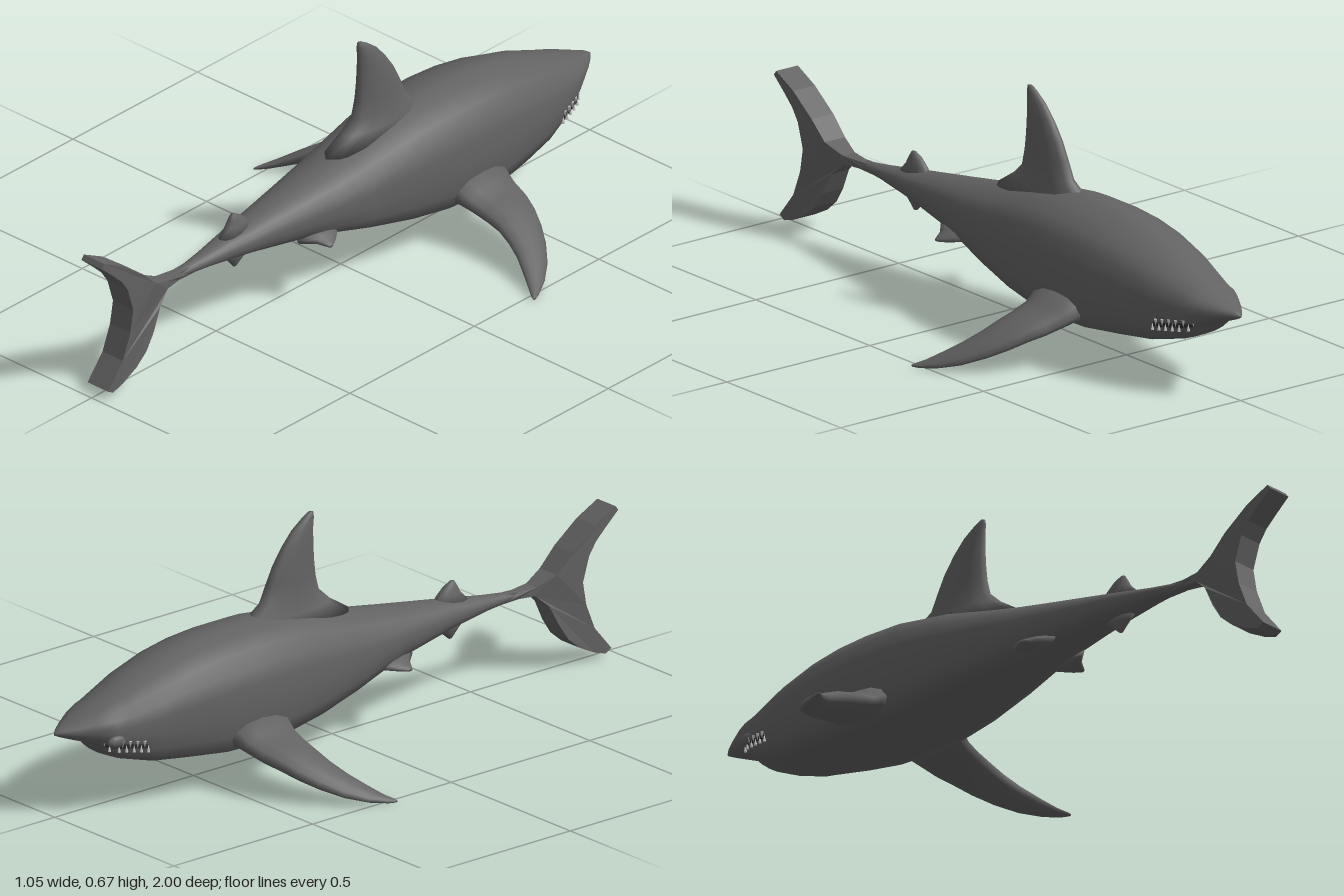
import * as THREE from 'three';

const skin = new THREE.MeshStandardMaterial({ name: 'grey skin', color: 0x626262 });
const toothWhite = new THREE.MeshStandardMaterial({ name: 'pale teeth', color: 0xc4c4c4 });
const mouthDark = new THREE.MeshStandardMaterial({ name: 'dark mouth', color: 0x2a2a2a, side: THREE.DoubleSide });

// Body stations from nose to tail: z, half width, top y, bottom y, boxiness
const stations = [
  [-1.0, 0.004, 0.25, 0.242, 0], [-0.985, 0.018, 0.26, 0.235, 0], [-0.95, 0.044, 0.273, 0.221, 0.1],
  [-0.9, 0.075, 0.293, 0.203, 0.3], [-0.87, 0.09, 0.305, 0.185, 0.4], [-0.85, 0.096, 0.313, 0.158, 0.4],
  [-0.8, 0.112, 0.332, 0.136, 0.5], [-0.72, 0.133, 0.363, 0.115, 0.65], [-0.6, 0.152, 0.396, 0.104, 0.85],
  [-0.5, 0.162, 0.411, 0.099, 1], [-0.4, 0.166, 0.418, 0.098, 1], [-0.28, 0.164, 0.418, 0.104, 1],
  [-0.15, 0.151, 0.402, 0.118, 0.9], [0, 0.128, 0.368, 0.143, 0.7], [0.1, 0.11, 0.348, 0.164, 0.5],
  [0.2, 0.091, 0.331, 0.185, 0.35], [0.4, 0.055, 0.299, 0.215, 0.2], [0.55, 0.028, 0.274, 0.231, 0.1],
  [0.65, 0.014, 0.261, 0.238, 0], [0.74, 0.014, 0.262, 0.236, 0],
];
// Boxy half section: flat belly, steep flanks, rounded back
const boxy = [[0, 0], [0.35, 0], [0.7, 0.02], [0.9, 0.05], [1, 0.2], [1, 0.4], [0.97, 0.6],
  [0.9, 0.75], [0.7, 0.88], [0.4, 0.955], [0.15, 0.995], [0, 1]];

function halfSection([z, w, top, bottom, box]) {
  return boxy.map(([bx, bt], k) => {
    const a = (k / (boxy.length - 1)) * Math.PI;
    const x = THREE.MathUtils.lerp(Math.sin(a), bx, box);
    const t = THREE.MathUtils.lerp((1 - Math.cos(a)) / 2, bt, box);
    return [x * w, bottom + t * (top - bottom), z];
  });
}

// Skin closed rings of points and cap both ends, facing outward
function loft(rings) {
  const n = rings[0].length, pos = rings.flat(), idx = [];
  for (let i = 0; i < rings.length - 1; i++) {
    for (let j = 0; j < n; j++) {
      const a = i * n + j, b = i * n + (j + 1) % n;
      idx.push(a, b, a + n, b, b + n, a + n);
    }
  }
  [0, rings.length - 1].forEach((r, end) => {
    const c = pos.length;
    pos.push([0, 1, 2].map(k => rings[r].reduce((s, p) => s + p[k], 0) / n));
    for (let j = 0; j < n; j++) {
      const a = r * n + j, b = r * n + (j + 1) % n;
      idx.push(c, ...(end ? [a, b] : [b, a]));
    }
  });
  const v = pos.map(p => new THREE.Vector3(...p));
  let volume = 0;
  for (let i = 0; i < idx.length; i += 3) {
    volume += v[idx[i]].dot(v[idx[i + 1]].clone().cross(v[idx[i + 2]]));
  }
  if (volume < 0) idx.reverse();
  const g = new THREE.BufferGeometry().setFromPoints(v);
  g.setIndex(idx);
  g.computeVertexNormals();
  return g;
}

// Fin from rows: x, y, leading z, trailing z, thickness along x, thickness along y
function fin(rows, side = 1) {
  return loft(rows.map(([x, y, z0, z1, tx, ty]) => Array.from({ length: 12 }, (_, k) => {
    const a = (k / 12) * Math.PI * 2;
    return [side * (x + tx * Math.sin(a)), y + ty * Math.sin(a), (z0 + z1) / 2 + (z0 - z1) / 2 * Math.cos(a)];
  })));
}

// Point on the flank at a given z and height
function flank(z, y) {
  const i = Math.max(1, stations.findIndex(s => s[0] >= z));
  const [p, q] = [stations[i - 1], stations[i]];
  const f = (z - p[0]) / (q[0] - p[0]);
  const half = halfSection(p.map((v, k) => v + (q[k] - v) * f));
  const j = Math.max(1, half.findIndex(h => h[1] >= y));
  const [a, b] = [half[j - 1], half[j]];
  const g = THREE.MathUtils.clamp((y - a[1]) / (b[1] - a[1] || 1), 0, 1);
  return a[0] + (b[0] - a[0]) * g;
}

export function createModel() {
  const group = new THREE.Group();
  const add = (name, geometry, material = skin) => {
    const m = new THREE.Mesh(geometry, material);
    m.name = name;
    group.add(m);
    return m;
  };

  // Body
  add('body', loft(stations.map(s => {
    const half = halfSection(s);
    return [...half, ...half.slice(1, -1).reverse().map(([x, y, z]) => [-x, y, z])];
  })));

  // Dorsal fin and the two small fins near the tail
  add('dorsalFin', fin([
    [0, 0.36, -0.34, 0.06, 0.06, 0], [0, 0.405, -0.31, -0.01, 0.048, 0], [0, 0.44, -0.262, -0.048, 0.036, 0],
    [0, 0.49, -0.238, -0.061, 0.032, 0], [0, 0.54, -0.213, -0.067, 0.028, 0], [0, 0.59, -0.178, -0.07, 0.023, 0],
    [0, 0.63, -0.143, -0.07, 0.017, 0], [0, 0.657, -0.108, -0.067, 0.011, 0], [0, 0.671, -0.085, -0.069, 0.006, 0],
  ]));
  add('rearTopFin', fin([
    [0, 0.28, 0.36, 0.49, 0.028, 0], [0, 0.309, 0.378, 0.462, 0.02, 0],
    [0, 0.33, 0.4, 0.45, 0.014, 0], [0, 0.345, 0.425, 0.44, 0.006, 0],
  ]));
  add('rearBottomFin', fin([
    [0, 0.23, 0.36, 0.48, 0.022, 0], [0, 0.208, 0.385, 0.456, 0.016, 0],
    [0, 0.192, 0.405, 0.442, 0.01, 0], [0, 0.179, 0.42, 0.432, 0.004, 0],
  ]));

  for (const [label, s] of [['left', 1], ['right', -1]]) {
    // Swept pectoral fins
    add(label + 'PectoralFin', fin([
      [0.12, 0.15, -0.5, -0.28, 0, 0.045], [0.165, 0.15, -0.495, -0.288, 0, 0.045],
      [0.2, 0.134, -0.485, -0.298, 0, 0.035], [0.255, 0.118, -0.474, -0.304, 0, 0.032],
      [0.3, 0.105, -0.456, -0.305, 0, 0.031], [0.35, 0.083, -0.43, -0.297, 0, 0.028],
      [0.4, 0.06, -0.395, -0.28, 0, 0.024], [0.45, 0.036, -0.348, -0.253, 0, 0.018],
      [0.49, 0.018, -0.293, -0.23, 0, 0.011], [0.515, 0.01, -0.245, -0.214, 0, 0.006],
      [0.523, 0.008, -0.225, -0.212, 0, 0.003],
    ], s));

    // Small pelvic fins
    add(label + 'PelvicFin', fin([
      [0.06, 0.2, 0.08, 0.24, 0, 0.025], [0.095, 0.193, 0.115, 0.2, 0, 0.014],
      [0.113, 0.188, 0.14, 0.19, 0, 0.009], [0.127, 0.184, 0.165, 0.182, 0, 0.004],
    ], s));

    // Mouth line and ragged teeth
    const count = 12, line = [];
    for (let i = 0; i < count; i++) {
      const z = -0.765 - i * 0.0105, y = 0.188 + i * 0.0015;
      const x = flank(z, y) + 0.003;
      line.push([x, y, z]);
      const tooth = add(label + 'Tooth', new THREE.ConeGeometry(0.006, 0.022, 4), toothWhite);
      tooth.position.set(s * x, y + (i % 2 ? 0.005 : -0.005), z);
      tooth.rotation.x = i % 2 ? Math.PI : 0;
    }
    const strip = new THREE.PlaneGeometry(1, 1, count - 1, 1);
    for (let i = 0; i < count; i++) {
      const [x, y, z] = line[i];
      strip.attributes.position.setXYZ(i, s * x, y + 0.006, z);
      strip.attributes.position.setXYZ(i + count, s * x, y - 0.006, z);
    }
    strip.computeVertexNormals();
    add(label + 'MouthLine', strip, mouthDark);
  }

  // Bulge on the right of the jaw
  const bulge = add('jawBulge', new THREE.SphereGeometry(1, 10, 8));
  bulge.scale.set(0.014, 0.018, 0.035);
  bulge.position.set(-0.09, 0.215, -0.85);

  // Thick crescent tail fin, narrowing into the tail root
  const outline = [[0.6, 0.262], [0.66, 0.26], [0.72, 0.262], [0.78, 0.287], [0.835, 0.34], [0.915, 0.4],
    [0.99, 0.438], [1, 0.425], [0.955, 0.385], [0.92, 0.352], [0.895, 0.315], [0.873, 0.243], [0.885, 0.175],
    [0.915, 0.1], [0.975, 0.028], [0.955, 0.016], [0.915, 0.028], [0.86, 0.056], [0.82, 0.09], [0.79, 0.136],
    [0.757, 0.2], [0.715, 0.237], [0.66, 0.239], [0.6, 0.237]];
  const tail = new THREE.ExtrudeGeometry(new THREE.Shape(outline.map(p => new THREE.Vector2(...p))),
    { depth: 1, bevelEnabled: false });
  tail.translate(0, 0, -0.5).rotateY(-Math.PI / 2);
  const p = tail.attributes.position;
  for (let i = 0; i < p.count; i++) {
    const half = 0.013 + 0.025 * THREE.MathUtils.smoothstep(p.getZ(i), 0.66, 0.81);
    p.setX(i, Math.sign(p.getX(i)) * half);
  }
  tail.computeVertexNormals();
  add('tailFin', tail);

  return group;
}
